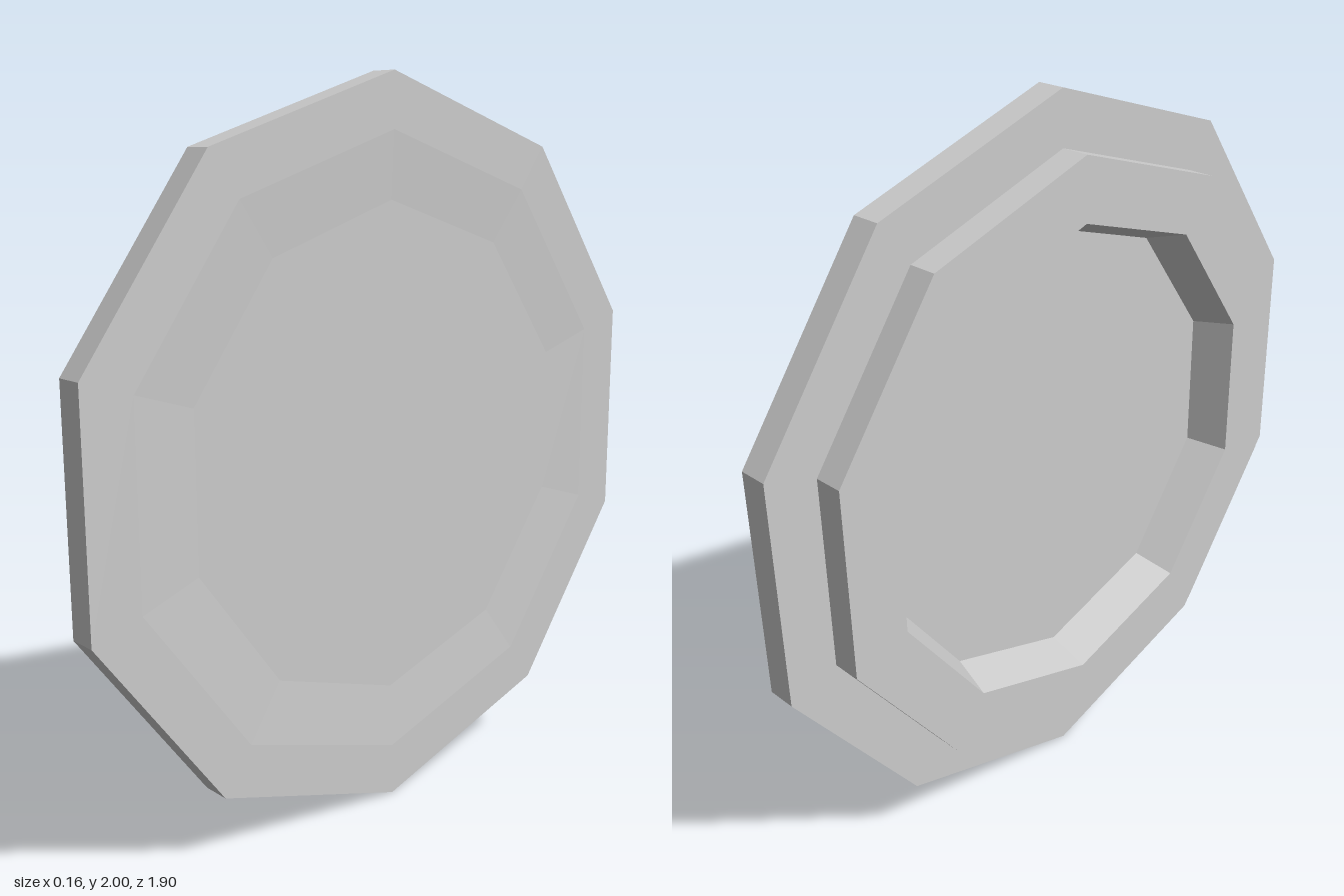
import * as THREE from 'three';

const SIDES = 10;

// Ten-sided surface of revolution about the x axis; profile points are [radius, x]
function ringPart(name, profile) {
  const geometry = new THREE.LatheGeometry(
    profile.map(([r, x]) => new THREE.Vector2(r, x)), SIDES, Math.PI / 2);
  geometry.rotateZ(-Math.PI / 2);
  const material = new THREE.MeshStandardMaterial({ color: 0xcccccc, flatShading: true });
  const mesh = new THREE.Mesh(geometry, material);
  mesh.name = name;
  return mesh;
}

export function createModel() {
  const group = new THREE.Group();
  group.name = 'decagonalDisc';

  // Flat floor of the deep recess on the -x side
  group.add(ringPart('recessFloor', [[0, 0.04], [0.64, 0.04]]));

  // Raised rim: tapered recess wall, flat lip and outer wall
  group.add(ringPart('raisedRim', [[0.64, 0.04], [0.68, -0.08], [0.853, -0.08], [0.853, 0]]));

  // Wide disc: back shoulder, edge and very shallow dished face on the +x side
  group.add(ringPart('wideDisc',
    [[0.853, 0], [1, 0], [1, 0.08], [0.853, 0.08], [0.675, 0.07], [0, 0.07]]));

  group.position.y = 1;
  return group;
}
